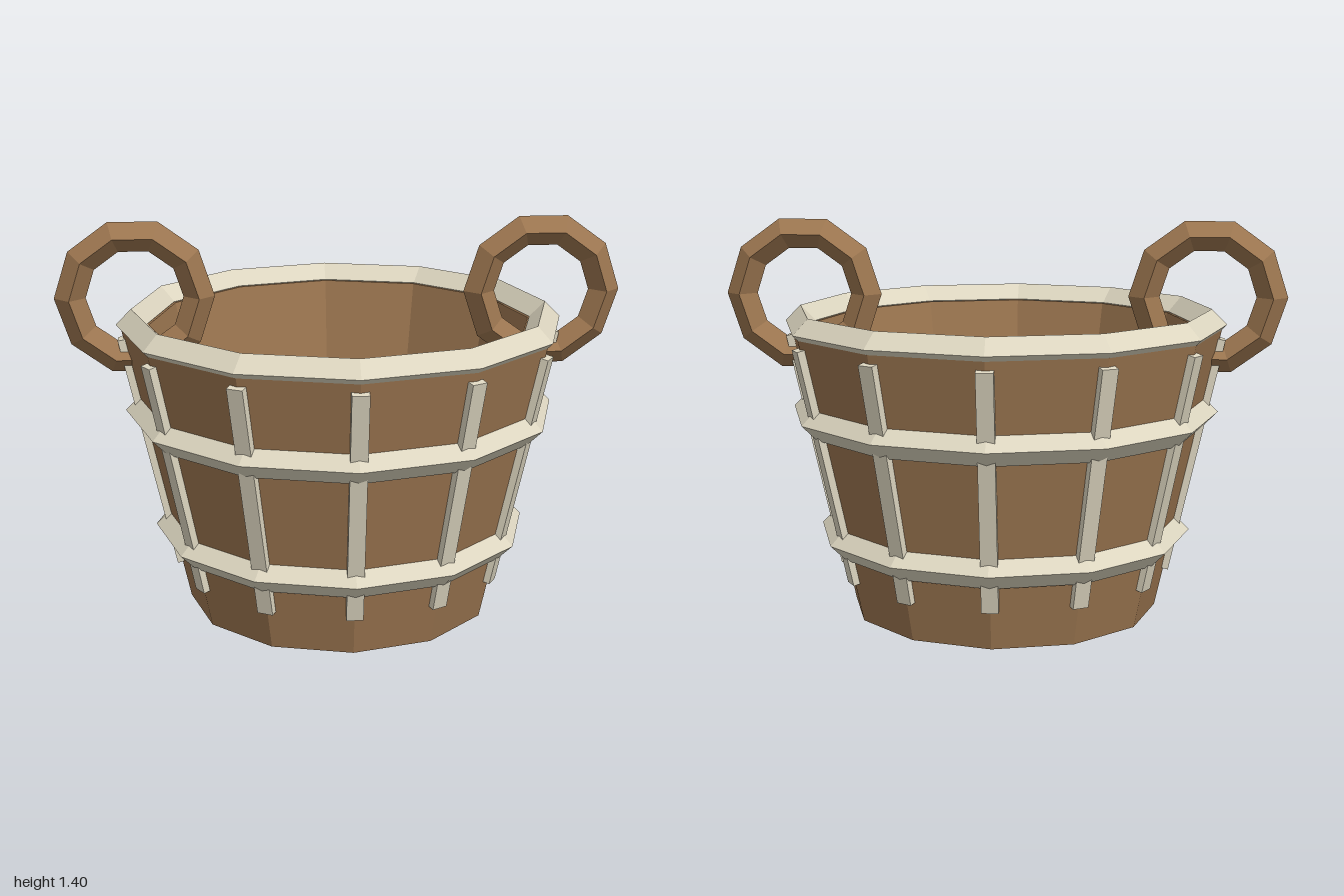
import * as THREE from 'three';

const SIDES = 12;
const wood = new THREE.MeshStandardMaterial({ color: 0x9c7650, flatShading: true });
const trim = new THREE.MeshStandardMaterial({ color: 0xddd6c0, flatShading: true });

function add(parent, name, geometry, material) {
  const mesh = new THREE.Mesh(geometry, material);
  mesh.name = name;
  parent.add(mesh);
  return mesh;
}

export function createModel() {
  const model = new THREE.Group();
  model.name = 'bucket';

  // Tapered tub with a wall thickness and an inner floor
  const profile = [
    [0, 0], [0.55, 0], [0.775, 1.03], [0.674, 1.03], [0.49, 0.07], [0, 0.07],
  ].map(([r, y]) => new THREE.Vector2(r, y));
  add(model, 'tub', new THREE.LatheGeometry(profile, SIDES), wood);

  // Diamond-section hoops and rim
  const hoops = [['lowerHoop', 0.615, 0.285], ['middleHoop', 0.71, 0.72], ['rim', 0.735, 1.033]];
  for (const [name, radius, y] of hoops) {
    const hoop = new THREE.TorusGeometry(radius, 0.055, 4, SIDES).rotateX(-Math.PI / 2);
    add(model, name, hoop, trim).position.y = y;
  }

  // Upright slats leaning with the wall, one on each corner
  const slats = new THREE.Group();
  slats.name = 'slats';
  model.add(slats);
  const low = new THREE.Vector2(0.597, 0.14), high = new THREE.Vector2(0.784, 0.98);
  const lean = Math.atan2(high.x - low.x, high.y - low.y);
  const slat = new THREE.BoxGeometry(0.058, low.distanceTo(high), 0.05)
    .translate(0, 0, -0.025)
    .rotateX(lean)
    .translate(0, (low.y + high.y) / 2, (low.x + high.x) / 2);
  for (let i = 0; i < SIDES; i++) {
    add(slats, 'slat', slat, trim).rotation.y = (i / SIDES) * Math.PI * 2;
  }

  // Ring handles through the wall on both sides
  const ring = new THREE.TorusGeometry(0.225, 0.055, 4, 10);
  for (const side of [1, -1]) {
    const handle = add(model, side > 0 ? 'leftHandle' : 'rightHandle', ring, wood);
    handle.position.set(side * 0.72, 1.13, 0);
    if (side < 0) handle.rotation.y = Math.PI;
  }
  return model;
}
